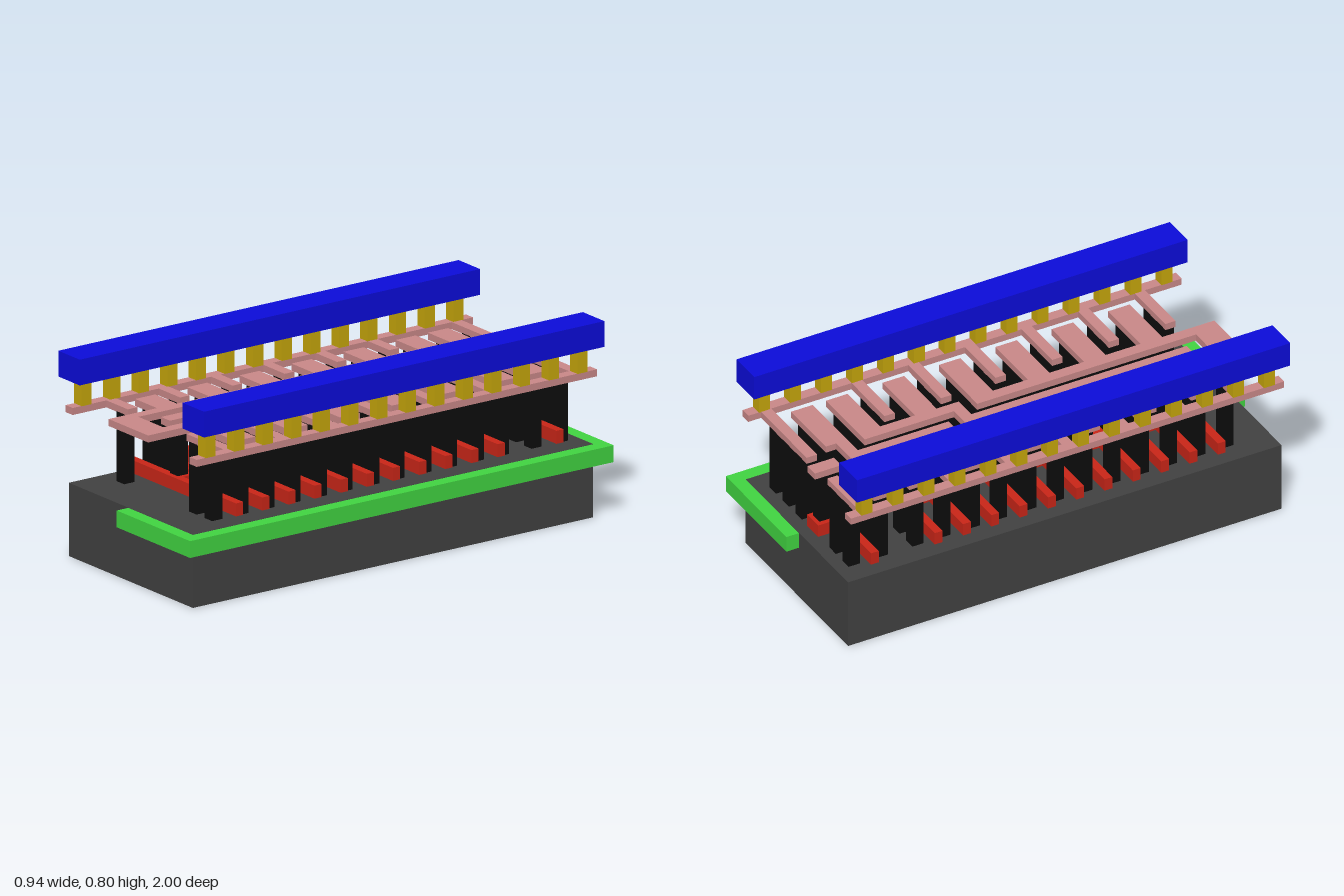
import * as THREE from 'three';

const mat = (color) => new THREE.MeshStandardMaterial({ color, flatShading: true });

export function createModel() {
  const model = new THREE.Group();
  const M = {
    substrate: mat(0x424242), well: mat(0x42d642), gate: mat(0xcc2618),
    contact: mat(0x0d0d0d), metal: mat(0xcc8a8a), via: mat(0xc8a80c), rail: mat(0x0c0cdc),
  };

  // Box given by its limits on each axis
  const block = (parent, name, material, [x0, x1], [y0, y1], [z0, z1]) => {
    const mesh = new THREE.Mesh(new THREE.BoxGeometry(x1 - x0, y1 - y0, z1 - z0), material);
    mesh.position.set((x0 + x1) / 2, (y0 + y1) / 2, (z0 + z1) / 2);
    mesh.name = name;
    parent.add(mesh);
  };
  const group = (name) => {
    const g = new THREE.Group();
    g.name = name;
    model.add(g);
    return g;
  };
  const around = (c, size) => [c - size / 2, c + size / 2];

  // Substrate with the well set flush into its top
  block(model, 'substrate', M.substrate, [-0.4, 0.396], [0, 0.293], [-0.945, 0.945]);
  block(model, 'well', M.well, [-0.018, 0.453], [0.225, 0.2922], [-1, 1]);

  // Gate bars, with landing pads along the centre line
  const gates = group('gates');
  const gateY = [0.315, 0.367];
  const gateZ = [-0.81];
  for (let i = 0; i < 11; i++) gateZ.push(0.703 - i * 0.1235);
  for (const z of gateZ) block(gates, 'gateBar', M.gate, [-0.367, 0.367], gateY, around(z, 0.034));
  const padX = [-0.105, -0.018];
  for (const span of [[-0.91, -0.8], [-0.55, -0.43], [-0.4, -0.265]]) {
    block(gates, 'gatePad', M.gate, padX, gateY, span);
  }
  const gateContactZ = [-0.87, -0.475, -0.375];
  for (let i = 0; i < 9; i++) {
    const z = 0.675 - i * 0.1;
    gateContactZ.push(z);
    block(gates, 'gatePad', M.gate, padX, gateY, around(z, 0.08));
  }

  // Contact posts
  const contacts = group('contacts');
  const post = (x, z, bottom = 0.293) =>
    block(contacts, 'contactPost', M.contact, around(x, 0.05), [bottom, 0.572], around(z, 0.048));
  for (const z of gateContactZ) post(-0.06, z, 0.36);

  // Lower metal layer
  const metal = group('metalLayer');
  const strip = (name, x, z) => block(metal, name, M.metal, x, [0.57, 0.598], z);
  for (const s of [-1, 1]) strip('metalRail', around(s * 0.398, 0.045), [-0.945, 0.945]);

  // Supply fingers reaching in from the rails
  strip('supplyFinger', [-0.4, -0.14], [-0.89, -0.845]);
  strip('supplyFinger', [0.02, 0.4], [-0.89, -0.845]);
  for (const x of [-0.285, -0.185, 0.08, 0.18, 0.28]) post(x, -0.868);
  for (let i = 0; i < 6; i++) {
    const z = 0.763 - i * 0.247;
    strip('supplyFinger', [-0.4, -0.238], around(z, 0.045));
    strip('supplyFinger', [i < 4 ? 0.138 : 0.12, 0.4], around(z, 0.045));
    for (const x of [-0.285, 0.18, 0.28]) post(x, z);
  }

  // Input tab and first stage
  strip('inputTab', [-0.088, -0.03], [-0.915, -0.8]);
  strip('firstStageBar', [-0.325, 0.32], [-0.745, -0.695]);
  strip('firstStagePad', [-0.325, -0.14], [-0.79, -0.745]);
  strip('firstStagePad', [0.05, 0.32], [-0.79, -0.745]);
  strip('firstStageStem', [-0.088, -0.03], [-0.7, -0.3]);
  for (const x of [-0.285, -0.185, 0.08, 0.18, 0.28]) post(x, -0.745);

  // Output pads of the second and third stages
  for (let i = 0; i < 6; i++) {
    const z = 0.64 - i * 0.246;
    strip('outputPad', [-0.325, -0.14], around(z, 0.094));
    strip('outputPad', [0.02, 0.32], around(z, 0.094));
    for (const x of [-0.285, -0.185, 0.08, 0.18, 0.28]) post(x, z);
  }

  // Long traces joining the pads of each stage
  for (const x of [[-0.185, -0.14], [0.02, 0.068]]) {
    strip('secondStageTrace', x, [-0.635, -0.2]);
    strip('thirdStageTrace', x, [-0.147, 0.915]);
  }
  strip('secondStageBridge', [-0.185, 0.068], [-0.248, -0.2]);
  strip('secondStageStem', [-0.088, -0.03], [-0.21, 0.74]);
  strip('outputBridge', [-0.185, 0.068], [0.808, 0.915]);

  // Vias carrying the two upper power rails
  const power = group('powerRails');
  for (const s of [-1, 1]) {
    for (let i = 0; i < 14; i++) {
      block(power, 'via', M.via, around(s * 0.398, 0.047), [0.597, 0.702], around(0.88 - i * 0.135, 0.048));
    }
    block(power, 'powerRail', M.rail, around(s * 0.399, 0.138), [0.7, 0.803], [-0.945, 0.945]);
  }
  return model;
}
